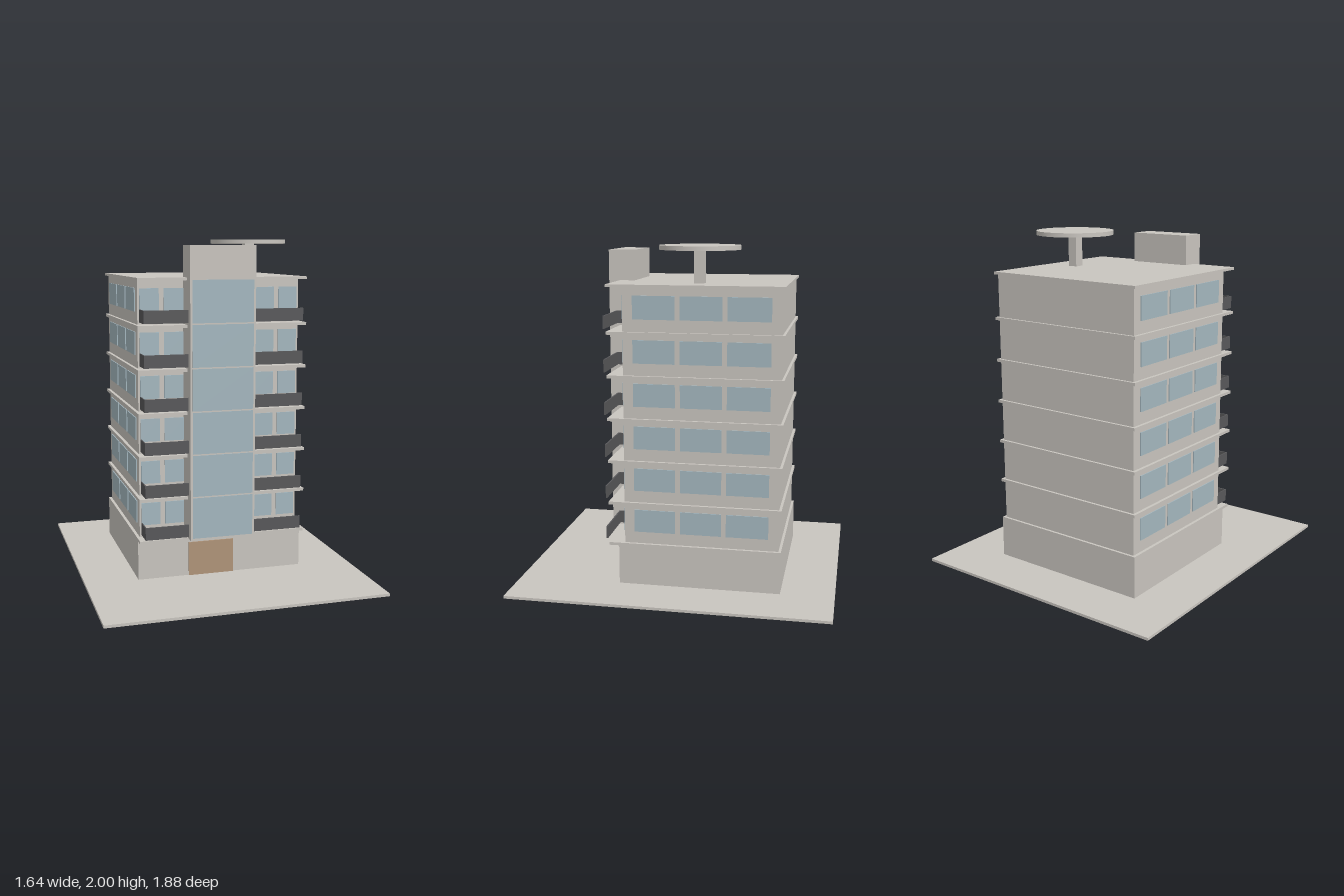
import * as THREE from 'three';

export function createModel() {
  const model = new THREE.Group();
  model.name = 'apartmentBuilding';

  const paint = (name, color) => {
    const m = new THREE.MeshStandardMaterial({ color });
    m.name = name;
    return m;
  };
  const concrete = paint('concrete', 0xc9c5bf);
  const glass = paint('glass', 0xa4b7bf);
  const railing = paint('darkRailing', 0x58585a);
  const wood = paint('doorWood', 0xb09479);

  // Box given by its lower and upper limits on each axis
  const box = (name, mat, [x0, x1], [y0, y1], [z0, z1], parent = model) => {
    const mesh = new THREE.Mesh(new THREE.BoxGeometry(x1 - x0, y1 - y0, z1 - z0), mat);
    mesh.position.set((x0 + x1) / 2, (y0 + y1) / 2, (z0 + z1) / 2);
    mesh.name = name;
    parent.add(mesh);
    return mesh;
  };

  // Ground plate, entrance level and door
  box('groundPlate', concrete, [-0.82, 0.82], [0, 0.016], [-0.94, 0.94]);
  box('groundFloor', concrete, [-0.505, 0.505], [0.016, 0.25], [-0.625, 0.33]);
  box('entranceDoor', wood, [-0.198, 0.078], [0.016, 0.22], [0.33, 0.337]);

  // Six identical storeys
  const pitch = 0.2505;
  for (let i = 0; i < 6; i++) {
    const storey = new THREE.Group();
    storey.name = 'storey' + (i + 1);
    storey.position.y = 0.25 + i * pitch;
    model.add(storey);

    const wallTop = i === 5 ? 0.268 : pitch;
    box('floorSlab', concrete, [-0.505, 0.505], [0, 0.017], [-0.625, 0.39], storey);
    box('walls', concrete, [-0.487, 0.487], [0.017, wallTop], [-0.61, 0.297], storey);

    // Side and front windows
    const sill = [0.088, 0.222];
    for (const s of [-1, 1]) {
      const span = (a, b) => (s > 0 ? [a, b] : [-b, -a]);
      for (const z of [[-0.55, -0.304], [-0.275, -0.035], [-0.005, 0.238]])
        box('sideWindow', glass, span(0.487, 0.493), sill, z, storey);
      for (const [a, b] of [[0.362, 0.475], [0.2, 0.333]])
        box('frontWindow', glass, span(a, b), sill, [0.297, 0.303], storey);
    }

    // L-shaped balcony railings: a front panel and one end panel
    for (const [a, b] of [[-0.477, -0.218], [0.171, 0.475]]) {
      box('railingFront', railing, [a, b], [0.029, 0.103], [0.406, 0.415], storey);
      box('railingEnd', railing, [a, a + 0.006], [0.029, 0.103], [0.298, 0.406], storey);
    }

    // Tall stairwell pane
    box('stairwellWindow', glass, [-0.205, 0.157], [0.03, 0.272], [0.455, 0.458], storey);
  }

  // Roof slab and stairwell tower
  box('roofSlab', concrete, [-0.505, 0.505], [1.7705, 1.786], [-0.625, 0.39]);
  box('stairwellTower', concrete, [-0.218, 0.17], [0.267, 1.965], [0.298, 0.455]);

  // Round canopy on a square post
  box('canopyPost', concrete, [0.282, 0.34], [1.786, 1.976], [-0.147, -0.088]);
  const canopy = new THREE.Mesh(new THREE.CylinderGeometry(0.233, 0.233, 0.025, 64), concrete);
  canopy.position.set(0.311, 1.9875, -0.119);
  canopy.name = 'roofCanopy';
  model.add(canopy);

  return model;
}
